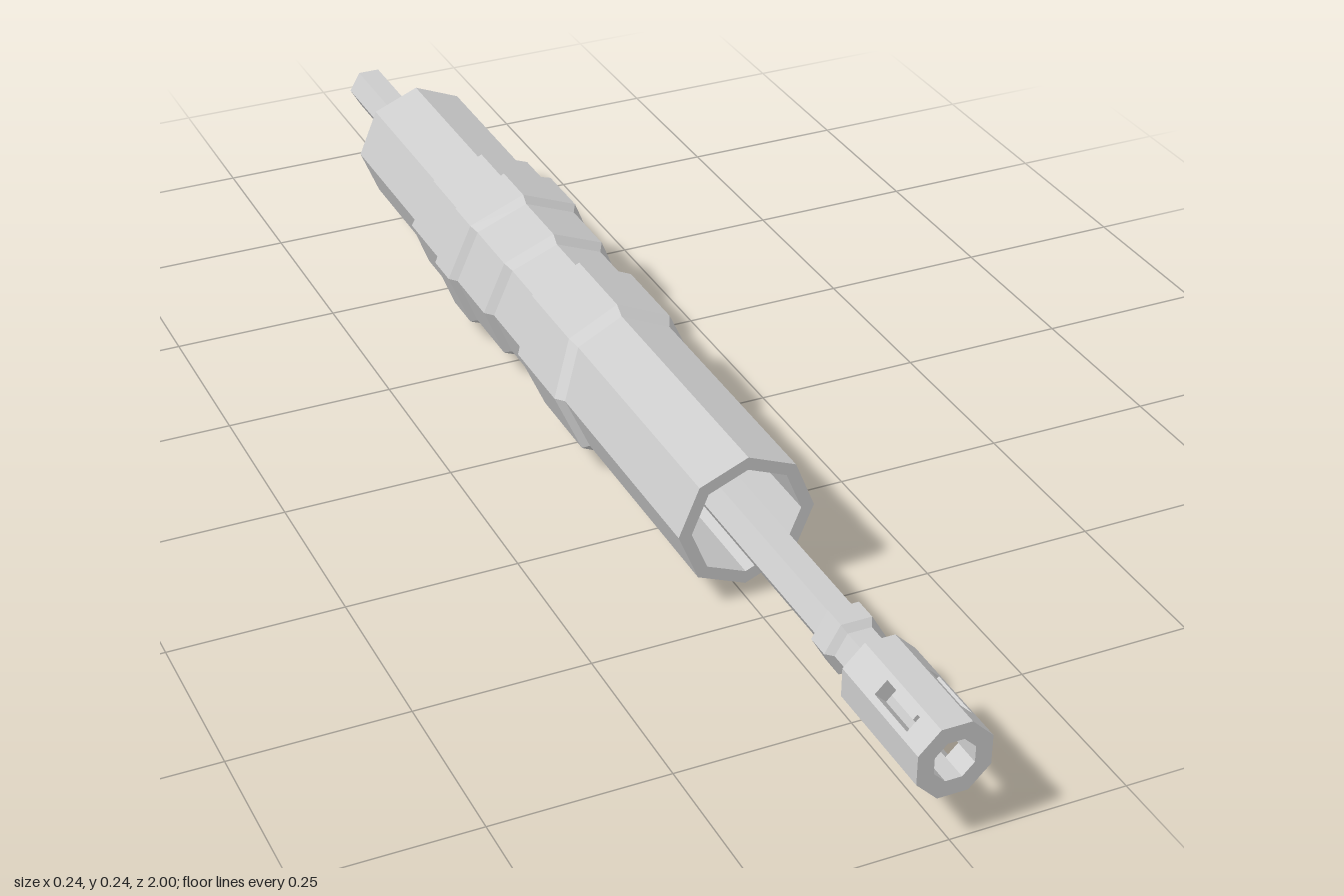
import * as THREE from 'three';

const material = new THREE.MeshStandardMaterial({ color: 0xcccccc, flatShading: true });
const AXIS_Y = 0.121;

function add(group, name, geometry) {
  const mesh = new THREE.Mesh(geometry, material);
  mesh.name = name;
  group.add(mesh);
  return mesh;
}

// Faceted solid around the z axis. Rows run back to front: [z, radius, slant in x, slant in y].
function turned(rows, sides, phase = 0) {
  const points = rows.map(([z, r]) => new THREE.Vector2(r, z));
  const geo = new THREE.LatheGeometry(points, sides, phase);
  geo.rotateX(Math.PI / 2);
  const p = geo.attributes.position;
  for (let i = 0; i < p.count; i++) {
    const [, , sx = 0, sy = 0] = rows[i % rows.length];
    p.setZ(i, p.getZ(i) + sx * p.getX(i) + sy * p.getY(i));
  }
  geo.computeVertexNormals();
  return geo;
}

// Bevelled wrap with slanted ends; each end is [z, slant in x, slant in y].
function wrap(rBase, r, back, front) {
  const bevel = 0.014;
  const [zb, ...sb] = back, [zf, ...sf] = front;
  return turned([
    [zb, rBase, ...sb], [zb + bevel, r, ...sb],
    [zf - bevel, r, ...sf], [zf, rBase, ...sf],
  ], 8);
}

// Octagon outline with flats on the axes
function octagon(apothem) {
  const r = apothem / Math.cos(Math.PI / 8);
  return Array.from({ length: 8 }, (_, i) => {
    const a = (i + 0.5) * Math.PI / 4;
    return new THREE.Vector2(r * Math.cos(a), r * Math.sin(a));
  });
}

function extrude(shape, z0, z1) {
  return new THREE.ExtrudeGeometry(shape, { depth: z1 - z0, bevelEnabled: false }).translate(0, 0, z0);
}

export function createModel() {
  const model = new THREE.Group();
  model.name = 'slottedTubeAssembly';
  const core = new THREE.Group();
  core.name = 'core';
  core.position.y = AXIS_Y;
  model.add(core);

  // Main body: closed at the back, hollow at the front
  add(core, 'body', turned([
    [-0.77, 0], [-0.77, 0.1], [0.445, 0.1], [0.445, 0.081], [0.12, 0.081], [0.12, 0],
  ], 8));

  // Hexagonal rod through the whole length
  add(core, 'rod', turned([[-1, 0], [-1, 0.034], [0.82, 0.034], [0.82, 0]], 6, Math.PI / 2));

  // Hexagonal collar on the rod
  add(core, 'collar', turned([
    [0.706, 0.034], [0.715, 0.044], [0.75, 0.044], [0.759, 0.034],
  ], 6, Math.PI / 2));

  // Slanted wraps around the body
  add(core, 'frontWrap', wrap(0.099, 0.111, [-0.092, 0, -0.28], [0.07, 0, -0.28]));
  add(core, 'rearWrap', wrap(0.099, 0.111, [-0.522, 0, 0.2], [-0.195, 0, 0.05]));
  add(core, 'topWrap', wrap(0.109, 0.121, [-0.42, -0.2, 0.09], [-0.312, 0, 0.06]));

  // Slotted tip: two full rings joined by four bars, leaving slots on the diagonal faces
  const tip = new THREE.Group();
  tip.name = 'tip';
  core.add(tip);
  const outer = 0.051, inner = 0.028;
  const ring = new THREE.Shape(octagon(outer));
  ring.holes.push(new THREE.Path(octagon(inner).reverse()));
  add(tip, 'tipRearRing', extrude(ring, 0.81, 0.88));
  add(tip, 'tipFrontRing', extrude(ring, 0.96, 1));

  const half = inner * Math.tan(Math.PI / 8);
  const diag = (a, t) => [(a + t) * Math.SQRT1_2, (a - t) * Math.SQRT1_2];
  const [ex, ey] = diag(outer, half);
  const [ix, iy] = diag(inner, half);
  const corner = outer * Math.tan(Math.PI / 8);
  const bar = new THREE.Shape([
    [ix, -iy], [ex, -ey], [outer, -corner], [outer, corner], [ex, ey], [ix, iy],
  ].map(([x, y]) => new THREE.Vector2(x, y)));
  for (let i = 0; i < 4; i++) {
    add(tip, 'tipBar', extrude(bar, 0.88, 0.96)).rotation.z = i * Math.PI / 2;
  }

  return model;
}
